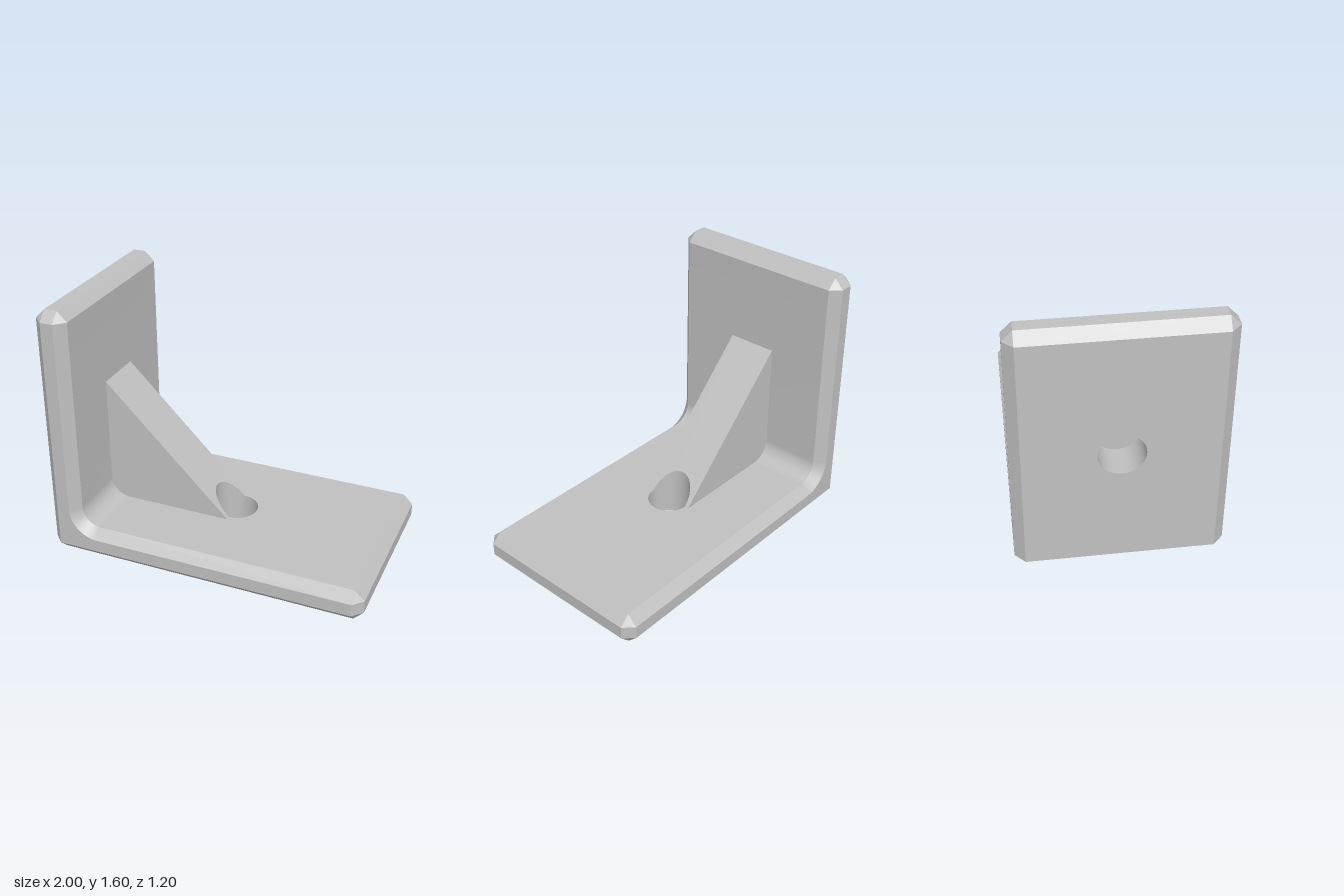
import * as THREE from 'three';
import { toCreasedNormals } from 'three/addons/utils/BufferGeometryUtils.js';

const R = 0.133;        // bolt hole radius
const C = 0.06;         // chamfer
const HOLE_Y = 0.8;     // height of the hole in the upright plate
const ZF = 0.6, ZM = ZF - C;

// Surface from a list of polygons (3 or 4 corners, counter-clockwise from outside)
function fromFaces(faces) {
  const pos = [];
  for (const f of faces) {
    for (let i = 1; i < f.length - 1; i++) pos.push(...f[0], ...f[i], ...f[i + 1]);
  }
  const g = new THREE.BufferGeometry();
  g.setAttribute('position', new THREE.Float32BufferAttribute(pos, 3));
  return toCreasedNormals(g, 0.3);
}

// Flat shape placed in space by a rule (u, v) -> [x, y, z]
function placed(shape, rule) {
  const g = new THREE.ShapeGeometry(shape, 24).toNonIndexed();
  const p = g.attributes.position;
  for (let i = 0; i < p.count; i++) p.setXYZ(i, ...rule(p.getX(i), p.getY(i)));
  g.computeVertexNormals();
  return g;
}

function rectWithHole(u0, u1, v0, v1, cu, cv) {
  const s = new THREE.Shape([[u0, v0], [u1, v0], [u1, v1], [u0, v1]].map((p) => new THREE.Vector2(...p)));
  s.holes.push(new THREE.Path().absarc(cu, cv, R, 0, Math.PI * 2, true));
  return s;
}

// Hole wall, facing its axis, between two rim curves
function holeWall(low, high) {
  const faces = [], n = 48;
  for (let i = 0; i < n; i++) {
    const a = (i / n) * Math.PI * 2, b = ((i + 1) / n) * Math.PI * 2;
    faces.push([low(a), low(b), high(b), high(a)]);
  }
  return fromFaces(faces);
}

export function createModel() {
  const group = new THREE.Group();
  const grey = new THREE.MeshStandardMaterial({ color: 0xc0c0c0 });
  grey.name = 'grey';
  const add = (name, geometry) => {
    const m = new THREE.Mesh(geometry, grey);
    m.name = name;
    group.add(m);
  };

  // L outline: f = edge of the side face, m = outer edge of the chamfer
  const outline = [];
  const corner = (f, m1, m2) => outline.push({ f, m: m1 }, { f, m: m2 });
  corner([-0.94, 0.06], [-1, 0.06], [-0.94, 0]);
  corner([0.94, 0.06], [0.94, 0], [1, 0.06]);
  corner([0.94, 0.14], [1, 0.14], [0.94, 0.2]);
  const steps = 16;
  for (let i = 0; i <= steps; i++) {
    const a = -Math.PI / 2 * (1 + i / steps);
    const at = (r) => [-0.68 + r * Math.cos(a), 0.32 + r * Math.sin(a)];
    outline.push({ f: at(0.18), m: at(0.12) });
  }
  corner([-0.86, 1.54], [-0.8, 1.54], [-0.86, 1.6]);
  corner([-0.94, 1.54], [-0.94, 1.6], [-1, 1.54]);

  // Side faces
  const side = new THREE.Shape(outline.map((o) => new THREE.Vector2(...o.f)));
  add('frontSide', placed(side, (u, v) => [u, v, ZF]));
  const mirrored = new THREE.Shape(outline.map((o) => new THREE.Vector2(-o.f[0], o.f[1])));
  add('backSide', placed(mirrored, (u, v) => [-u, v, -ZF]));

  // Chamfers and plain walls; the three drilled faces are made separately
  const chamfers = [], walls = [];
  const drilled = [1, 5, outline.length - 1];
  outline.forEach((p, i) => {
    const q = outline[(i + 1) % outline.length];
    const front = [[...p.f, ZF], [...p.m, ZM], [...q.m, ZM]];
    if (p.f !== q.f) front.push([...q.f, ZF]);
    chamfers.push(front, front.map(([x, y, z]) => [x, y, -z]).reverse());
    if (!drilled.includes(i)) walls.push([[...p.m, ZM], [...p.m, -ZM], [...q.m, -ZM], [...q.m, ZM]]);
  });
  add('sideChamfers', fromFaces(chamfers));
  add('plateWalls', fromFaces(walls));

  // Drilled faces
  add('baseUnderside', placed(rectWithHole(-0.94, 0.94, -ZM, ZM, 0, 0), (u, v) => [u, 0, v]));
  add('baseTop', placed(rectWithHole(-0.68, 0.94, -ZM, ZM, 0, 0), (u, v) => [u, 0.2, -v]));
  add('uprightOuterFace', placed(rectWithHole(-ZM, ZM, 0.06, 1.54, 0, HOLE_Y), (u, v) => [-1, v, u]));

  // Base hole, cutting up through the toe of the rib
  const ring = (a, y) => [R * Math.cos(a), y, R * Math.sin(a)];
  add('baseHole', holeWall((a) => ring(a, 0), (a) => ring(a, 0.2 + Math.max(0, -R * Math.cos(a)))));

  // Upright hole, closed by the rib behind it
  const ringX = (a, x) => [x, HOLE_Y + R * Math.cos(a), -R * Math.sin(a)];
  add('uprightHole', holeWall((a) => ringX(a, -1), (a) => ringX(a, -0.8)));
  const disc = new THREE.Shape().absarc(0, HOLE_Y, R, 0, Math.PI * 2, false);
  add('uprightHoleEnd', placed(disc, (u, v) => [-0.8, v, u]));

  // Rib: sloping top notched by the base hole, and two triangular sides
  const W = 0.16;
  const slope = new THREE.Shape();
  slope.moveTo(-0.8, -W).lineTo(0, -W).lineTo(0, -R);
  slope.absarc(0, 0, R, -Math.PI / 2, Math.PI / 2, true);
  slope.lineTo(0, W).lineTo(-0.8, W);
  add('ribSlope', placed(slope, (u, v) => [u, 0.2 - u, -v]));
  const tri = [[-0.8, 0.2, W], [0, 0.2, W], [-0.8, 1, W]];
  add('ribSides', fromFaces([tri, tri.map(([x, y, z]) => [x, y, -z]).reverse()]));

  return group;
}
